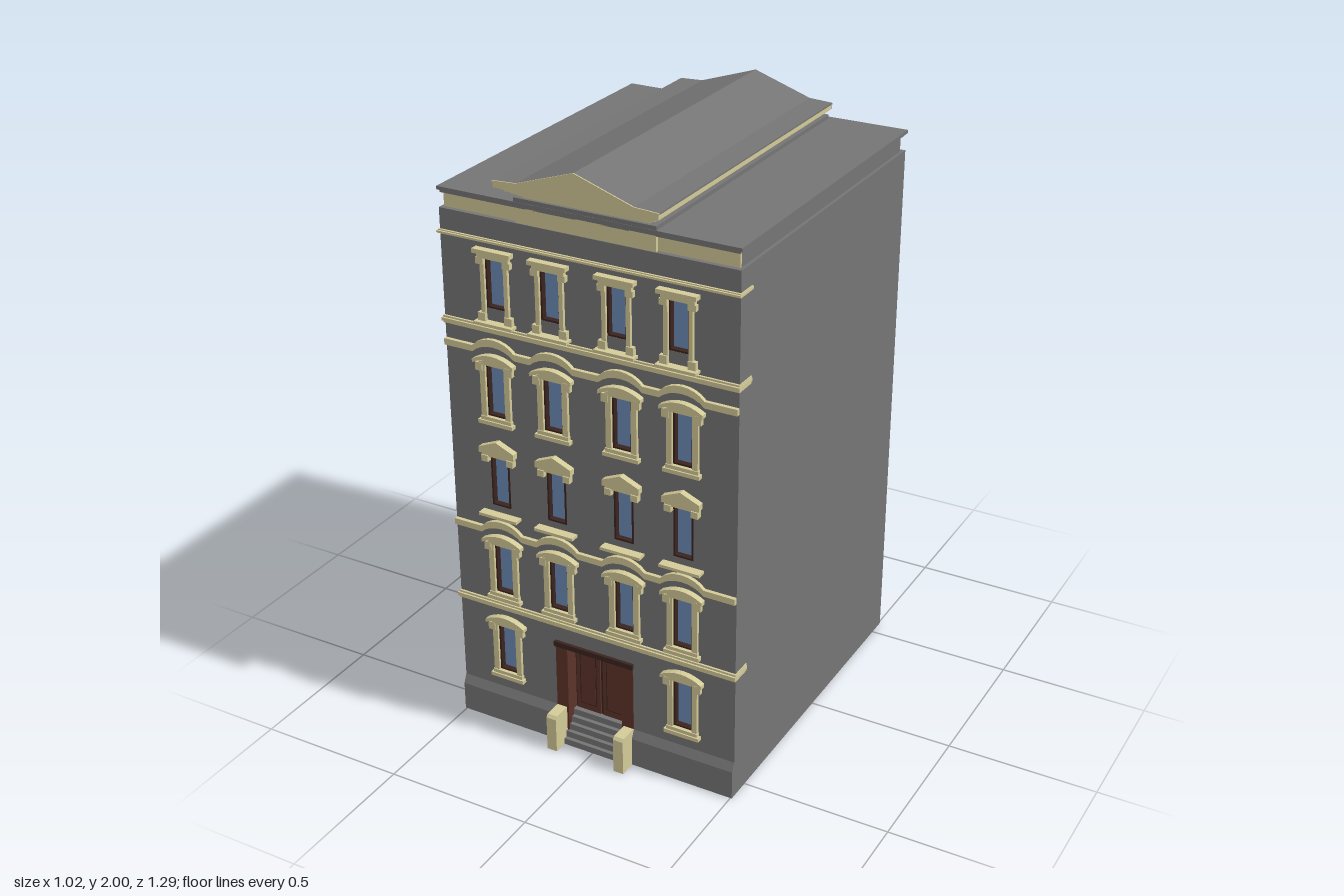
import * as THREE from 'three';

const mat = (name, color) => {
  const m = new THREE.MeshStandardMaterial({ color });
  m.name = name;
  return m;
};

export function createModel() {
  const model = new THREE.Group();
  model.name = 'townhouse';
  const grey = mat('grey masonry', 0x757575);
  const cream = mat('cream stone', 0xd3ca98);
  const blue = mat('window glass', 0x6c8cb8);
  const dark = mat('dark wood', 0x3a2420);
  const brown = mat('brown door', 0x5c3329);
  const FRONT = 0.573, BACK = -0.565, INNER = 0.52, HALF = 0.505;

  const add = (name, geo, material, parent = model) => {
    const mesh = new THREE.Mesh(geo, material);
    mesh.name = name;
    parent.add(mesh);
    return mesh;
  };
  const box = (name, material, x0, x1, y0, y1, z0, z1, parent) => {
    const g = new THREE.BoxGeometry(x1 - x0, y1 - y0, z1 - z0);
    g.translate((x0 + x1) / 2, (y0 + y1) / 2, (z0 + z1) / 2);
    return add(name, g, material, parent);
  };
  const extrude = (name, material, shape, z0, z1, parent) => {
    const g = new THREE.ExtrudeGeometry(shape, { depth: z1 - z0, bevelEnabled: false, curveSegments: 8 });
    g.translate(0, 0, z0);
    return add(name, g, material, parent);
  };
  const poly = (pts) => new THREE.Shape(pts.map(([x, y]) => new THREE.Vector2(x, y)));

  // Window rows: glass bottom and top, column positions, style
  const cols = [-0.327, -0.121, 0.118, 0.324];
  const rows = [
    { y0: 0.2, y1: 0.375, xs: [cols[0], cols[3]], style: 'arch' },
    { y0: 0.5, y1: 0.677, xs: cols, style: 'arch' },
    { y0: 0.82, y1: 1.0, xs: cols, style: 'gable' },
    { y0: 1.135, y1: 1.31, xs: cols, style: 'arch' },
    { y0: 1.5, y1: 1.662, xs: [-0.313, -0.121, 0.106, 0.311], style: 'flat' },
  ];
  const HW = 0.034;

  // Body and front wall with openings
  box('body', grey, -HALF, HALF, 0, 1.79, BACK, INNER);
  const wall = poly([[-HALF, 0], [-0.143, 0], [-0.143, 0.38], [0.143, 0.38], [0.143, 0],
    [HALF, 0], [HALF, 1.79], [-HALF, 1.79]]);
  for (const { y0, y1, xs } of rows) for (const x of xs) {
    wall.holes.push(new THREE.Path([[x - HW, y0], [x - HW, y1], [x + HW, y1], [x + HW, y0]]
      .map(([a, b]) => new THREE.Vector2(a, b))));
  }
  extrude('frontWall', grey, wall, INNER, FRONT);

  // Plinth with a sloped top, either side of the entrance
  for (const s of [-1, 1]) {
    const profile = poly([[0, 0], [0.014, 0], [0.014, 0.1], [0, 0.13]]);
    const g = new THREE.ExtrudeGeometry(profile, { depth: HALF - 0.143, bevelEnabled: false });
    g.rotateY(-Math.PI / 2); // depth now runs along -x, profile along +z
    g.translate(s > 0 ? HALF : -0.143, 0, FRONT);
    add('plinth', g, grey);
  }

  // Windows
  const hoodArch = (x, base, hw, edge, rise) => {
    const s = new THREE.Shape();
    s.moveTo(x - hw, base);
    s.lineTo(x + hw, base);
    s.lineTo(x + hw, base + edge);
    s.quadraticCurveTo(x, base + edge + 2 * rise, x - hw, base + edge);
    s.closePath();
    return s;
  };
  const makeWindow = (x, y0, y1, style) => {
    const w = new THREE.Group();
    w.name = 'window';
    model.add(w);
    box('glass', blue, x - HW, x + HW, y0, y1, INNER, 0.556, w);
    for (const s of [-1, 1]) {
      const a = x + s * HW, b = x + s * (HW - 0.006);
      box('sash', dark, Math.min(a, b), Math.max(a, b), y0, y1, 0.553, 0.575, w);
    }
    box('sashTop', dark, x - HW, x + HW, y1 - 0.006, y1, 0.553, 0.575, w);
    box('sashBottom', dark, x - HW, x + HW, y0, y0 + 0.006, 0.553, 0.575, w);
    const jambs = (bottom, top, wide) => {
      for (const s of [-1, 1]) {
        const a = x + s * HW, b = x + s * (HW + wide);
        box('jamb', cream, Math.min(a, b), Math.max(a, b), bottom, top, FRONT - 0.01, 0.584, w);
      }
    };
    if (style === 'arch') {
      jambs(y0 - 0.012, y1, 0.019);
      box('sill', cream, x - 0.062, x + 0.062, y0 - 0.025, y0 - 0.012, FRONT, 0.592, w);
      box('sillBlock', cream, x - 0.055, x + 0.055, y0 - 0.012, y0, FRONT, 0.587, w);
      extrude('archHead', cream, hoodArch(x, y1, 0.06, 0.004, 0.02), FRONT, 0.587, w);
      const s = new THREE.Shape();
      s.moveTo(x - 0.073, y1 + 0.004);
      s.quadraticCurveTo(x, y1 + 0.045, x + 0.073, y1 + 0.004);
      s.lineTo(x + 0.073, y1 + 0.016);
      s.quadraticCurveTo(x, y1 + 0.06, x - 0.073, y1 + 0.016);
      extrude('archHood', cream, s, FRONT, 0.594, w);
      for (const k of [-1, 1]) box('bracket', cream, x + k * 0.054 - 0.012, x + k * 0.054 + 0.012, y1 - 0.022, y1 + 0.006, FRONT, 0.588, w);
    } else if (style === 'gable') {
      const h = y1 + 0.008;
      extrude('gableHood', cream, poly([[x - 0.064, h], [x + 0.064, h], [x + 0.064, h + 0.02],
        [x, h + 0.047], [x - 0.064, h + 0.02]]), FRONT, 0.595, w);
      box('hoodBase', cream, x - 0.058, x + 0.058, y1 - 0.004, h, FRONT, 0.588, w);
      for (const k of [-1, 1]) box('bracket', cream, x + k * 0.046 - 0.012, x + k * 0.046 + 0.012, y1 - 0.022, y1, FRONT, 0.592, w);
      box('sill', cream, x - 0.07, x + 0.07, 0.786, 0.796, FRONT, 0.604, w);
    } else {
      jambs(y0 - 0.035, y1, 0.014);
      box('apron', grey, x - HW, x + HW, y0 - 0.035, y0, FRONT, 0.576, w);
      box('lintel', cream, x - 0.055, x + 0.055, y1, y1 + 0.016, FRONT, 0.588, w);
      box('lintelCap', cream, x - 0.066, x + 0.066, y1 + 0.016, y1 + 0.03, FRONT, 0.597, w);
      box('sill', cream, x - 0.068, x + 0.068, y0 - 0.05, y0 - 0.041, FRONT, 0.602, w);
      for (const k of [-1, 1]) {
        box('foot', cream, x + k * 0.047 - 0.013, x + k * 0.047 + 0.013, y0 - 0.041, y0 - 0.015, FRONT, 0.588, w);
        box('capital', cream, x + k * 0.047 - 0.013, x + k * 0.047 + 0.013, y1 - 0.02, y1, FRONT, 0.588, w);
      }
    }
  };
  for (const r of rows) for (const x of r.xs) makeWindow(x, r.y0, r.y1, r.style);

  // Straight string courses, returning a little around the corners
  for (const [y, h] of [[0.436, 0.026], [1.419, 0.024], [1.71, 0.013]]) {
    box('stringCourse', cream, -0.508, 0.508, y, y + h, 0.505, 0.58);
    box('stringCourseLip', cream, -0.51, 0.51, y + h * 0.3, y + h * 0.75, 0.505, 0.586);
  }

  // Bands that arch over the windows
  for (const y of [0.714, 1.347]) {
    const s = new THREE.Shape(), t = 0.021, a = 0.075;
    s.moveTo(-HALF, y);
    for (const x of cols) {
      s.lineTo(x - a, y);
      s.bezierCurveTo(x - a / 2, y + 0.038, x + a / 2, y + 0.038, x + a, y);
    }
    s.lineTo(HALF, y);
    s.lineTo(HALF, y + t);
    for (const x of [...cols].reverse()) {
      s.lineTo(x + a, y + t);
      s.bezierCurveTo(x + a / 2, y + t + 0.042, x - a / 2, y + t + 0.042, x - a, y + t);
    }
    s.lineTo(-HALF, y + t);
    extrude('archedBand', cream, s, FRONT, 0.586);
  }

  // Entrance
  const door = new THREE.Group();
  door.name = 'entrance';
  model.add(door);
  box('doorBack', dark, -0.143, 0.143, 0.11, 0.38, INNER, 0.526, door);
  box('doorLintel', dark, -0.145, 0.145, 0.362, 0.38, INNER, 0.584, door);
  box('doorHead', brown, -0.1, 0.1, 0.35, 0.362, INNER, 0.55, door);
  for (const s of [-1, 1]) {
    const span = (name, m, a, b, ...rest) => box(name, m, Math.min(s * a, s * b), Math.max(s * a, s * b), ...rest, door);
    span('doorPost', brown, 0.1, 0.143, 0, 0.362, INNER, 0.576);
    span('doorLeaf', brown, 0.005, 0.094, 0.112, 0.348, INNER, 0.532);
    span('doorPanelEdge', dark, 0.018, 0.08, 0.135, 0.335, INNER, 0.5335);
    span('doorPanel', brown, 0.022, 0.076, 0.139, 0.331, INNER, 0.535);
    // Stair cheek with a chamfered top
    const cheek = new THREE.ExtrudeGeometry(poly([[0, 0], [0.072, 0], [0.072, 0.122], [0.064, 0.132], [0, 0.132]]),
      { depth: 0.036, bevelEnabled: false });
    cheek.rotateY(-Math.PI / 2);
    cheek.translate(s * 0.125 + 0.018, 0, FRONT);
    add('stairCheek', cheek, cream, door);
  }
  for (let i = 0; i < 5; i++) {
    box('step', grey, -0.107, 0.107, i * 0.022, (i + 1) * 0.022, INNER, 0.598 - i * 0.013, door);
  }

  // Top frieze and roof slab
  box('frieze', grey, -0.495, 0.495, 1.79, 1.842, -0.545, 0.553);
  box('friezeFace', cream, -0.495, 0.495, 1.791, 1.84, 0.553, 0.56);
  box('friezeCentre', cream, -0.235, 0.235, 1.791, 1.84, 0.553, 0.572);
  box('roofSlabLower', grey, -0.5, 0.5, 1.838, 1.846, -0.56, 0.572);
  box('roofSlab', grey, -0.508, 0.508, 1.846, 1.857, -0.57, 0.576);

  // Stepped cornice under the gable
  box('gableBase', grey, -0.238, 0.238, 1.857, 1.87, -0.553, 0.575);
  [[0.21, 1.87, 0.565, -0.45], [0.222, 1.878, 0.575, -0.458], [0.235, 1.886, 0.588, -0.466],
    [0.25, 1.894, 0.6, -0.474], [0.26, 1.902, 0.61, -0.482], [0.273, 1.91, 0.623, -0.494]]
    .forEach(([x, y, z1, z0], i) => {
      const h = i === 5 ? 0.018 : 0.008;
      box('corniceStep', cream, -x, x, y, y + h, z0 + 0.003, z1);
      box('corniceBack', grey, -x, x, y, y + h, z0, z0 + 0.003);
    });

  // Gable roof with a cream front face
  const gable = poly([[-0.275, 1.926], [0.275, 1.926], [0.275, 1.931], [0.195, 1.935], [0, 2], [-0.195, 1.935], [-0.275, 1.931]]);
  extrude('gableRoof', grey, gable, -0.496, 0.621);
  extrude('pediment', cream, gable, 0.621, 0.625);

  // Rear bay with splayed sides
  const bay = poly([[-0.145, 0.565], [0.145, 0.565], [0.102, 0.598], [0.102, 0.645], [-0.102, 0.645], [-0.102, 0.598]]);
  const bayGeo = new THREE.ExtrudeGeometry(bay, { depth: 0.365, bevelEnabled: false });
  bayGeo.rotateX(-Math.PI / 2);
  // Raise the top edge where it meets the wall
  const p = bayGeo.attributes.position;
  for (let i = 0; i < p.count; i++) if (p.getY(i) > 0.3 && p.getZ(i) > -0.57) p.setY(i, 0.378);
  bayGeo.computeVertexNormals();
  add('rearBay', bayGeo, grey);

  return model;
}
